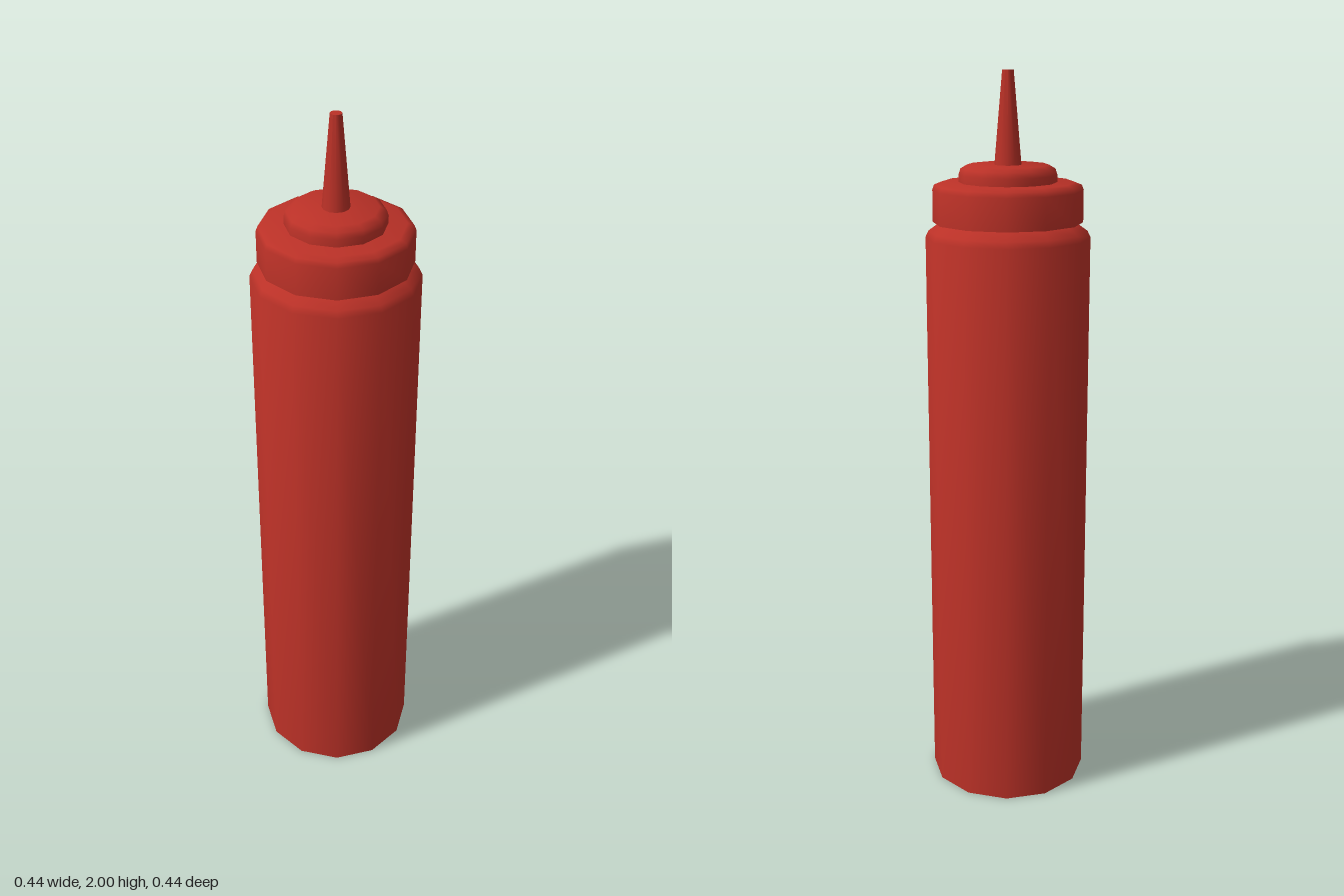
import * as THREE from 'three';
import { toCreasedNormals } from 'three/addons/utils/BufferGeometryUtils.js';

export function createModel() {
  const group = new THREE.Group();
  group.name = 'squeezeBottle';
  const red = new THREE.MeshStandardMaterial({ color: 0xbb3127 });
  red.name = 'red plastic';

  // Twelve-sided turned part from [radius, height] points, bottom to top
  const turned = (name, points) => {
    const profile = points.map(([r, y]) => new THREE.Vector2(r, y));
    const geometry = toCreasedNormals(new THREE.LatheGeometry(profile, 12), 1.0);
    const mesh = new THREE.Mesh(geometry, red);
    mesh.name = name;
    group.add(mesh);
  };

  // Bottle with a rounded shoulder
  turned('body', [[0, 0], [0.22, 0], [0.22, 1.57], [0.212, 1.587], [0.18, 1.61], [0, 1.61]]);

  // Screw cap with a rounded top rim
  turned('cap', [[0, 1.61], [0.2, 1.61], [0.2, 1.695], [0.195, 1.708], [0.178, 1.715], [0, 1.715]]);

  // Raised disc in the middle of the cap
  turned('capStep', [[0, 1.71], [0.13, 1.71], [0.13, 1.735], [0.125, 1.75], [0.108, 1.76], [0, 1.76]]);

  // Tapered spout
  turned('nozzle', [[0, 1.755], [0.036, 1.755], [0.015, 2], [0, 2]]);

  return group;
}
